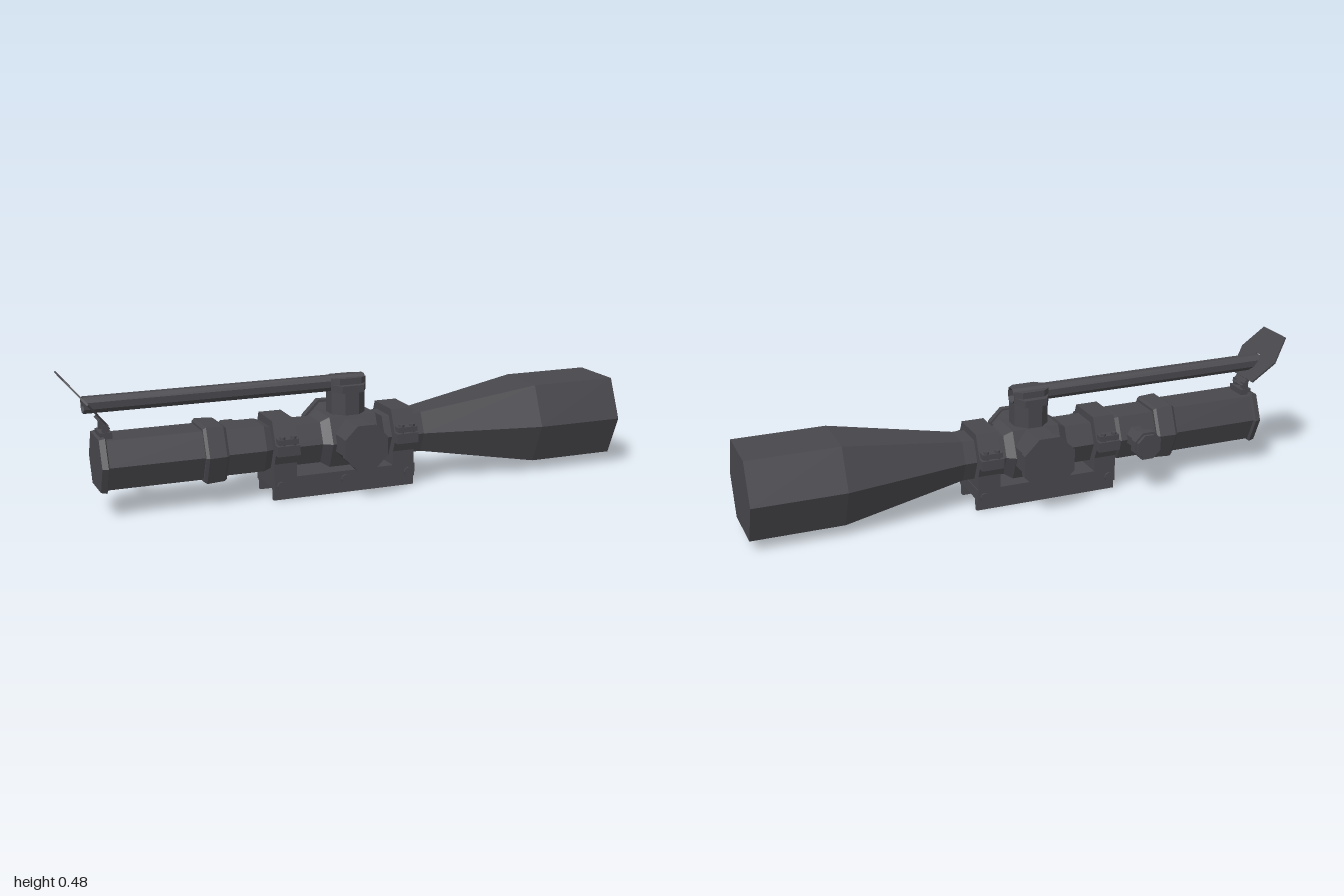
import * as THREE from 'three';

const CY = 0.18; // height of the optical axis
const TX = -0.015; // turret position along the axis

export function createModel() {
  const root = new THREE.Group();
  root.name = 'rifleScope';
  const metal = new THREE.MeshStandardMaterial({ color: 0x48474c });
  metal.name = 'gunmetal';

  const add = (name, geo, x = 0, y = 0, z = 0) => {
    const flat = geo.index ? geo.toNonIndexed() : geo;
    flat.computeVertexNormals();
    const mesh = new THREE.Mesh(flat, metal);
    mesh.name = name;
    mesh.position.set(x, y, z);
    root.add(mesh);
    return mesh;
  };
  const box = (name, x0, x1, y0, y1, z0, z1) =>
    add(name, new THREE.BoxGeometry(x1 - x0, y1 - y0, z1 - z0), (x0 + x1) / 2, (y0 + y1) / 2, (z0 + z1) / 2);

  // Hexagonal body swept along x; each station is [x, half height]
  const hex = [[1.15, 0], [0.72, 1], [-0.72, 1], [-1.15, 0], [-0.72, -1], [0.72, -1]];
  const hexBody = (name, stations) => {
    const pos = [];
    const put = (i, k) => {
      const [x, h] = stations[i], [z, y] = hex[k % 6];
      pos.push(x, CY + y * h, z * h);
    };
    const last = stations.length - 1;
    for (let k = 0; k < 6; k++) {
      for (let i = 0; i < last; i++) {
        put(i, k); put(i + 1, k); put(i + 1, k + 1);
        put(i, k); put(i + 1, k + 1); put(i, k + 1);
      }
    }
    for (let k = 1; k < 5; k++) {
      put(0, 0); put(0, k); put(0, k + 1);
      put(last, 0); put(last, k + 1); put(last, k);
    }
    const geo = new THREE.BufferGeometry();
    geo.setAttribute('position', new THREE.Float32BufferAttribute(pos, 3));
    return add(name, geo);
  };

  hexBody('eyepiece', [[-0.895, 0.088], [-0.875, 0.092], [-0.87, 0.083], [-0.47, 0.083]]);
  hexBody('zoomRing', [[-0.55, 0.09], [-0.54, 0.097], [-0.48, 0.094], [-0.47, 0.088]]);
  hexBody('mainTube', [[-0.47, 0.079], [-0.335, 0.079], [-0.31, 0.071], [0.26, 0.071]]);
  hexBody('objectiveBell', [[0.25, 0.071], [0.68, 0.14], [1, 0.14]]);
  hexBody('turretSaddle', [[-0.13, 0.071], [-0.1, 0.088], [0.07, 0.088], [0.1, 0.071]]);

  // Flat-topped octagonal drums pointing along +z or -z
  const drum = (name, x, apothem, z0, z1) => {
    const r = apothem / Math.cos(Math.PI / 8);
    const geo = new THREE.CylinderGeometry(r, r, Math.abs(z1 - z0), 8);
    geo.rotateY(Math.PI / 8).rotateX(Math.PI / 2);
    return add(name, geo, x, CY + 0.003, (z0 + z1) / 2);
  };
  drum('leftTurretStem', TX, 0.072, 0.05, 0.17);
  drum('leftTurretCap', TX, 0.078, 0.168, 0.19);
  drum('rightTurretStem', TX, 0.083, -0.166, -0.05);
  drum('rightTurretCap', TX, 0.092, -0.19, -0.164);
  drum('sideKnobStem', -0.395, 0.037, -0.15, -0.06);
  drum('sideKnobFlange', -0.395, 0.05, -0.175, -0.145);
  drum('sideKnobCap', -0.395, 0.043, -0.187, -0.175);

  // Top turret, with a split cap that cradles the rod
  const stem = new THREE.CylinderGeometry(0.067, 0.067, 0.127, 8).rotateY(Math.PI / 8);
  add('topTurretStem', stem, TX, 0.2835, 0);
  for (const turn of [0, Math.PI]) {
    for (const [a, y0, y1] of [[0.07, 0.347, 0.372], [0.048, 0.372, 0.394]]) {
      const half = new THREE.Shape([[-0.064, 0.0265], [-0.04, a], [0.04, a], [0.064, 0.0265]]
        .map(p => new THREE.Vector2(...p)));
      const geo = new THREE.ExtrudeGeometry(half, { depth: y1 - y0, bevelEnabled: false });
      add('topTurretCap', geo.rotateX(-Math.PI / 2).rotateY(turn), TX, y0, 0);
    }
  }

  // Hollow octagonal rod
  const octagon = (apothem, stretch = 1, dy = 0) => Array.from({ length: 8 }, (_, i) => {
    const t = (i + 0.5) * Math.PI / 4, r = apothem / Math.cos(Math.PI / 8);
    return new THREE.Vector2(r * Math.cos(t), r * Math.sin(t) * stretch + dy);
  });
  const rodShape = new THREE.Shape(octagon(0.0268));
  rodShape.holes.push(new THREE.Path(octagon(0.0255)));
  const rod = new THREE.ExtrudeGeometry(rodShape, { depth: 0.98, bevelEnabled: false });
  add('linkRod', rod.rotateY(Math.PI / 2), -0.93, 0.3735, 0);

  // Tilted hexagonal flap, pierced by the rod
  const flapShape = new THREE.Shape([[0.112, 0], [0.072, 0.101], [-0.072, 0.101], [-0.112, 0], [-0.072, -0.101], [0.072, -0.101]]
    .map(p => new THREE.Vector2(...p)));
  flapShape.holes.push(new THREE.Path(octagon(0.0262, 1.3, -0.032)));
  const flapGeo = new THREE.ExtrudeGeometry(flapShape, { depth: 0.006, bevelEnabled: false });
  flapGeo.applyMatrix4(new THREE.Matrix4().makeBasis(
    new THREE.Vector3(0, 0, 1), new THREE.Vector3(-0.643, 0.766, 0), new THREE.Vector3(-0.766, -0.643, 0)));
  add('flap', flapGeo, -0.932, 0.4, 0);

  // Hinge joining the flap to the eyepiece
  const arm = add('hingeArm', new THREE.BoxGeometry(0.012, 0.045, 0.07), -0.869, 0.31, 0);
  arm.rotation.z = 0.7;
  box('hingeBase', -0.885, -0.845, 0.262, 0.284, -0.04, 0.04);
  for (const z of [-0.027, 0.027]) box('hingeLug', -0.875, -0.855, 0.275, 0.308, z - 0.01, z + 0.01);

  // Mount base with rail legs and screws
  box('mountBase', -0.31, 0.21, 0.04, 0.08, -0.09, 0.09);
  for (const s of [-1, 1]) {
    box('railLeg', -0.31, 0.21, 0, 0.042, s * 0.071 - 0.008, s * 0.071 + 0.008);
    box('railLip', -0.31, 0.21, 0.034, 0.042, s * 0.077 - 0.013, s * 0.077 + 0.013);
    for (const x of [-0.285, -0.052, 0.185]) {
      const head = new THREE.CylinderGeometry(0.016, 0.016, 0.008, 8).rotateX(Math.PI / 2);
      add('baseScrew', head, x, 0.052, s * 0.092);
    }
  }

  // Two clamping rings with bolted ears
  for (const x of [-0.27, 0.167]) {
    box('ringPost', x - 0.04, x + 0.04, 0.08, 0.19, -0.09, 0.09);
    hexBody('ringClamp', [[x - 0.04, 0.097], [x + 0.04, 0.097]]);
    for (const s of [-1, 1]) {
      box('ringEarLower', x - 0.04, x + 0.04, 0.165, 0.2, s * 0.105 - 0.024, s * 0.105 + 0.024);
      box('ringEarUpper', x - 0.036, x + 0.036, 0.204, 0.222, s * 0.105 - 0.021, s * 0.105 + 0.021);
      for (const dx of [-0.02, 0.02]) {
        add('earBolt', new THREE.CylinderGeometry(0.01, 0.01, 0.03, 6), x + dx, 0.215, s * 0.115);
      }
    }
  }
  return root;
}
